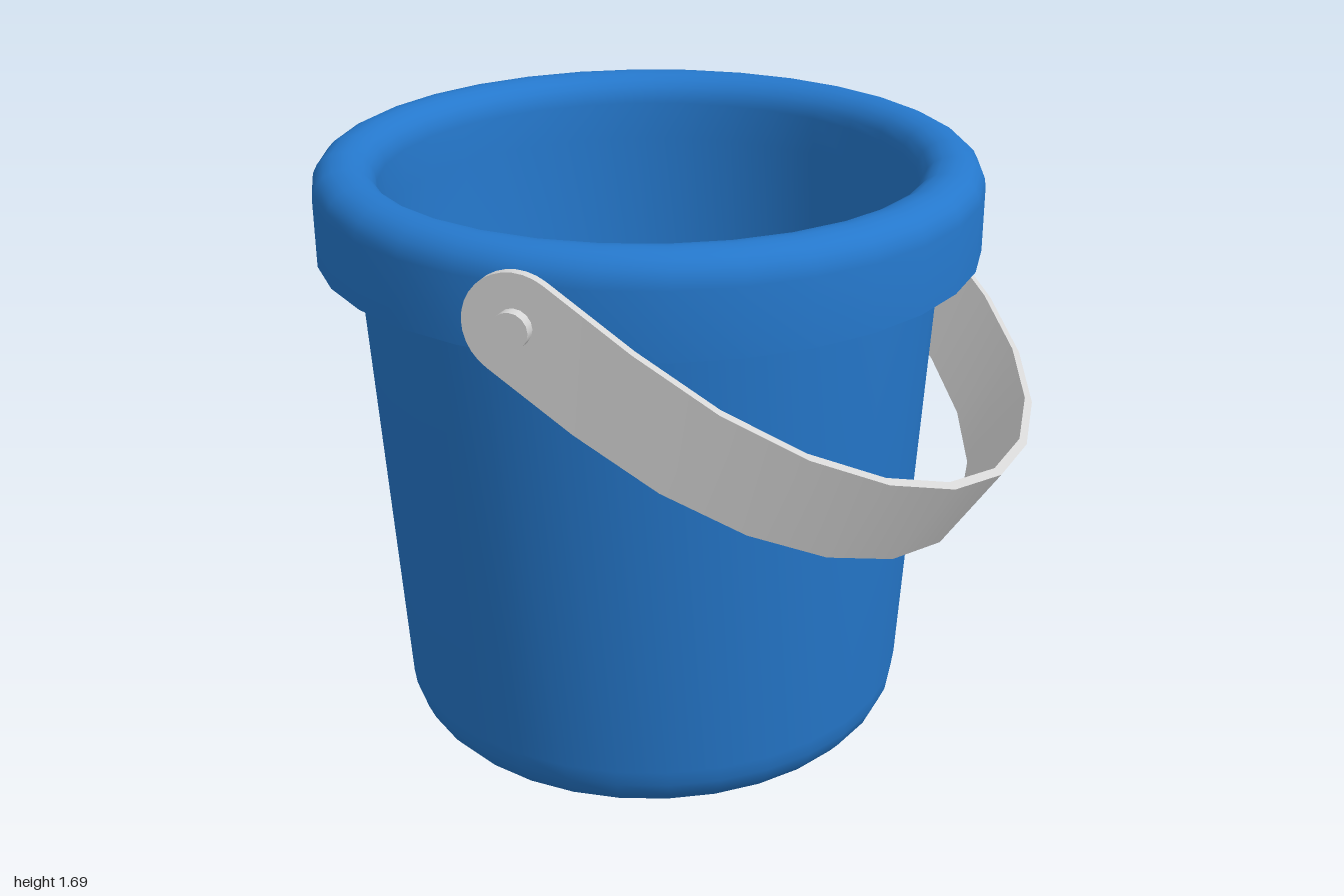
import * as THREE from 'three';
import { toCreasedNormals } from 'three/addons/utils/BufferGeometryUtils.js';

const blue = new THREE.MeshStandardMaterial({ color: 0x2578cc });
blue.name = 'blue plastic';
const grey = new THREE.MeshStandardMaterial({ color: 0xd6d6d6 });
grey.name = 'light grey';

function addMesh(parent, name, geometry, material) {
  const mesh = new THREE.Mesh(geometry, material);
  mesh.name = name;
  parent.add(mesh);
  return mesh;
}

// Points of a rounded profile corner, angles in degrees
function corner(cx, cy, rx, ry, from, to, steps = 5) {
  const points = [];
  for (let i = 0; i <= steps; i++) {
    const a = THREE.MathUtils.degToRad(from + ((to - from) * i) / steps);
    points.push(new THREE.Vector2(cx + rx * Math.cos(a), cy + ry * Math.sin(a)));
  }
  return points;
}

// Closed wall profile: underside, outer wall, thick rim, inner wall, floor
function bucketGeometry() {
  const p = (x, y) => new THREE.Vector2(x, y);
  const profile = [
    p(0, 0),
    ...corner(0.6, 0.15, 0.13, 0.15, -90, 0),
    p(0.805, 1.43),
    p(0.913, 1.43),
    ...corner(0.833, 1.61, 0.08, 0.08, 0, 90),
    ...corner(0.82, 1.61, 0.08, 0.08, 90, 180),
    p(0.74, 1.5),
    ...corner(0.615, 0.11, 0.045, 0.05, 0, -90, 3),
    p(0, 0.06),
  ];
  return toCreasedNormals(new THREE.LatheGeometry(profile, 32), 0.62);
}

// U-shaped strap with rounded ends, lying in the local xz plane
function handleGeometry() {
  const radius = 0.955, straight = 0.26, thick = 0.025, half = 0.135;
  const stations = []; // x, z, outward direction, half width
  const capSteps = 8;
  for (let i = 0; i <= capSteps; i++) {
    const a = (i / capSteps) * Math.PI / 2;
    stations.push({ angle: 0, z: -half * Math.cos(a), h: half * Math.sin(a) });
  }
  const arcSteps = 12;
  for (let i = 0; i <= arcSteps; i++) {
    stations.push({ angle: (i / arcSteps) * Math.PI, z: straight, h: half });
  }
  for (let i = capSteps; i >= 0; i--) {
    const a = (i / capSteps) * Math.PI / 2;
    stations.push({ angle: Math.PI, z: -half * Math.cos(a), h: half * Math.sin(a) });
  }

  const rings = stations.map(({ angle, z, h }) => {
    const at = (r, y) => [r * Math.cos(angle), y, z + r * Math.sin(angle)];
    const inner = radius - thick;
    return [at(radius, -h), at(radius, h), at(inner, h), at(inner, -h)];
  });

  const positions = [];
  for (let i = 0; i < rings.length - 1; i++) {
    for (let k = 0; k < 4; k++) {
      const n = (k + 1) % 4;
      const a = rings[i][k], b = rings[i][n], c = rings[i + 1][n], d = rings[i + 1][k];
      positions.push(...a, ...b, ...c, ...a, ...c, ...d);
    }
  }
  const geometry = new THREE.BufferGeometry();
  geometry.setAttribute('position', new THREE.Float32BufferAttribute(positions, 3));
  return toCreasedNormals(geometry, 0.6);
}

export function createModel() {
  const group = new THREE.Group();
  group.name = 'bucket';
  group.position.set(-0.086, 0, -0.086);

  addMesh(group, 'bucketBody', bucketGeometry(), blue);

  // Handle swings on a diagonal axis and hangs forward
  const handleGroup = new THREE.Group();
  handleGroup.name = 'handleAssembly';
  handleGroup.position.y = 1.52;
  handleGroup.rotation.y = Math.PI / 4;
  group.add(handleGroup);

  const strap = addMesh(handleGroup, 'handle', handleGeometry(), grey);
  strap.rotation.x = THREE.MathUtils.degToRad(34);

  // Pivot pins through both strap ends
  for (const side of [1, -1]) {
    const pin = addMesh(handleGroup, side > 0 ? 'rightPin' : 'leftPin',
      new THREE.CylinderGeometry(0.047, 0.047, 0.1, 16), grey);
    pin.rotation.z = Math.PI / 2;
    pin.position.x = side * 0.935;
  }

  const model = new THREE.Group();
  model.name = 'model';
  model.add(group);
  return model;
}
